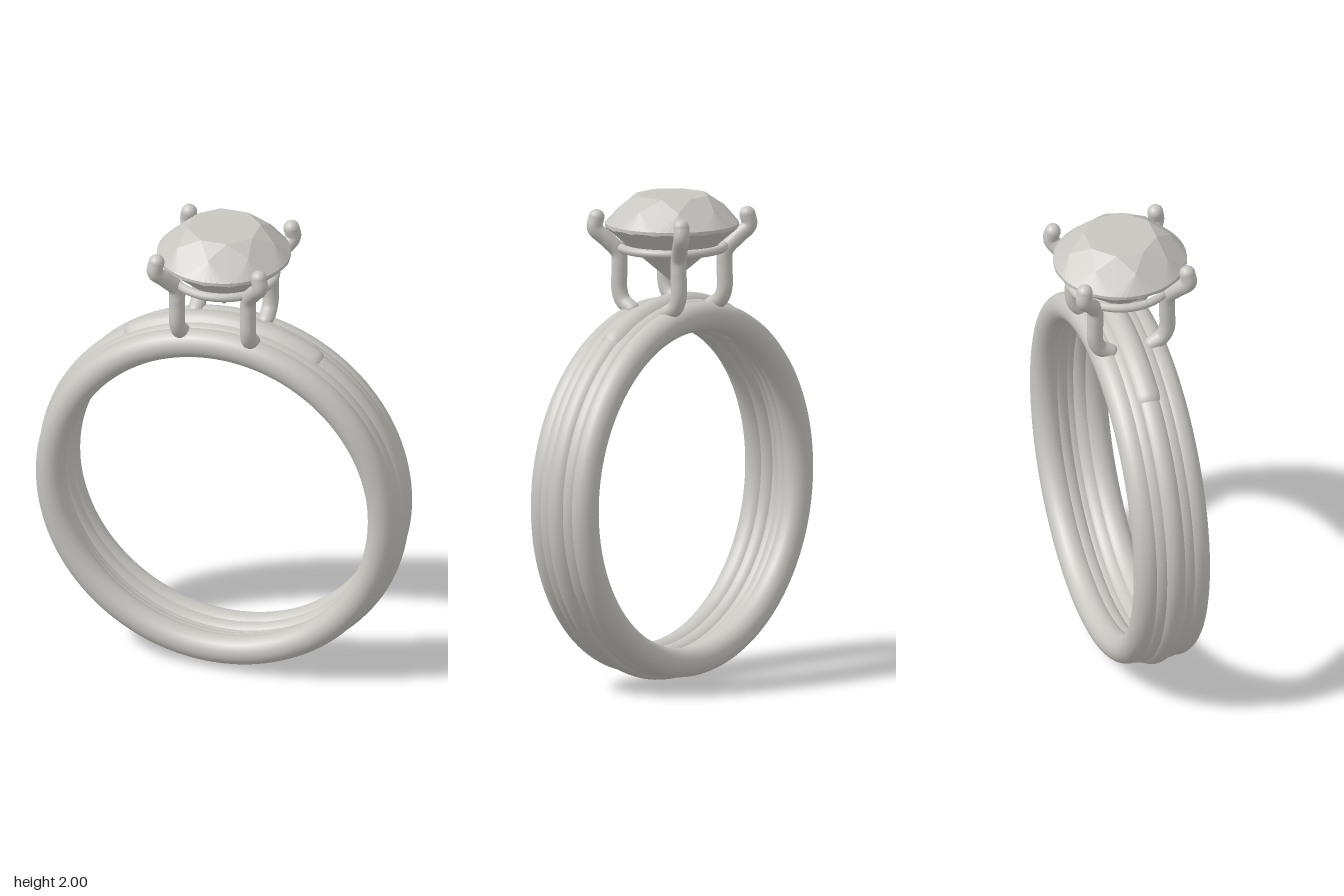
import * as THREE from 'three';
import { mergeVertices } from 'three/addons/utils/BufferGeometryUtils.js';

const CENTRE_Y = 0.79; // height of the finger hole's centre

// Round-brilliant stone: table, stars, kites, girdle and pavilion facets
function gemGeometry() {
  const out = [];
  const P = (r, y, deg) => {
    const a = THREE.MathUtils.degToRad(deg);
    return [r * Math.sin(a), y, r * Math.cos(a)];
  };
  const tri = (a, b, c) => out.push(...a, ...b, ...c);
  const R = 0.273, top = 1.885, low = 1.868, culetY = 1.637;
  const table = (d) => P(0.15, 2.0, d);
  const mid = (d) => P(0.215, 1.954, d);
  const girdle = (d) => P(R, top, d);
  const centre = [0, 2.0, 0], culet = [0, culetY, 0];
  // scalloped lower edge that keeps each pavilion facet flat
  const lower = (d, facetMid) => {
    const c = Math.cos(THREE.MathUtils.degToRad(d - facetMid)) / Math.cos(Math.PI / 16);
    return P(R, culetY + (low - culetY) * c, d);
  };
  const step = 5.625;
  for (let k = 0; k < 8; k++) {
    const a = 22.5 + 45 * k;
    tri(centre, table(a), table(a + 45));
    tri(table(a), mid(a + 22.5), table(a + 45));
    tri(table(a), mid(a - 22.5), girdle(a));
    tri(table(a), girdle(a), mid(a + 22.5));
    for (let j = 0; j < 8; j++) {
      const b = a + j * step, c = b + step;
      const facetMid = a + (j < 4 ? 11.25 : 33.75);
      const lb = lower(b, facetMid), lc = lower(c, facetMid);
      tri(mid(a + 22.5), girdle(b), girdle(c));
      tri(girdle(b), lb, lc);
      tri(girdle(b), lc, girdle(c));
      tri(lb, culet, lc);
    }
  }
  const g = new THREE.BufferGeometry();
  g.setAttribute('position', new THREE.Float32BufferAttribute(out, 3));
  g.computeVertexNormals(); // unindexed, so every facet stays flat
  return g;
}

// Capsule bent along the top of the band
function bridgeGeometry() {
  let g = new THREE.CapsuleGeometry(1, 12.7, 8, 24, 48);
  g.deleteAttribute('uv');
  g.deleteAttribute('normal');
  g = mergeVertices(g, 1e-4);
  const p = g.attributes.position;
  for (let i = 0; i < p.count; i++) {
    const r = 0.722 + 0.078 * p.getX(i);
    const a = p.getY(i) * 0.083;
    p.setXYZ(i, -r * Math.sin(a), CENTRE_Y + r * Math.cos(a), 0.065 * p.getZ(i));
  }
  g.computeVertexNormals();
  return g;
}

export function createModel() {
  const model = new THREE.Group();
  const silver = new THREE.MeshStandardMaterial({ color: 0xc8c6c1 });
  silver.name = 'silver';
  const add = (name, geometry, x = 0, y = 0, z = 0, parent = model) => {
    const m = new THREE.Mesh(geometry, silver);
    m.name = name;
    m.position.set(x, y, z);
    parent.add(m);
    return m;
  };

  // Shank: five overlapping round bands, the centre one standing proudest
  const shank = new THREE.Group();
  shank.name = 'shank';
  model.add(shank);
  const bands = [
    ['edgeBand', 0.71, 0.06, 0.1],
    ['innerBand', 0.72, 0.055, 0.052],
    ['centreBand', 0.735, 0.055, 0],
  ];
  for (const [name, radius, tube, z] of bands) {
    for (const side of z ? [1, -1] : [1]) {
      add(name, new THREE.TorusGeometry(radius, tube, 24, 128), 0, CENTRE_Y, side * z, shank);
    }
  }

  // Smooth bridge under the setting
  add('bridge', bridgeGeometry());

  // Basket ring holding the stone
  const basket = add('basketRing', new THREE.TorusGeometry(0.212, 0.018, 12, 64), 0, 1.785, 0);
  basket.rotation.x = Math.PI / 2;

  // Four prongs with rounded tips
  const prongRadius = 0.033;
  for (const sx of [1, -1]) {
    for (const sz of [1, -1]) {
      const points = [
        [0.15, 1.535, 0.09], [0.15, 1.565, 0.135], [0.152, 1.61, 0.153],
        [0.152, 1.7, 0.153], [0.155, 1.765, 0.156], [0.19, 1.82, 0.19],
        [0.224, 1.868, 0.224], [0.219, 1.912, 0.219],
      ].map(([x, y, z]) => new THREE.Vector3(sx * x, y, sz * z));
      const prong = new THREE.Group();
      prong.name = 'prong';
      model.add(prong);
      const curve = new THREE.CatmullRomCurve3(points, false, 'centripetal');
      add('prongWire', new THREE.TubeGeometry(curve, 48, prongRadius, 16), 0, 0, 0, prong);
      for (const end of [points[0], points[points.length - 1]]) {
        add('prongEnd', new THREE.SphereGeometry(prongRadius, 16, 12), end.x, end.y, end.z, prong);
      }
    }
  }

  // Stone
  add('gemstone', gemGeometry());

  return model;
}
